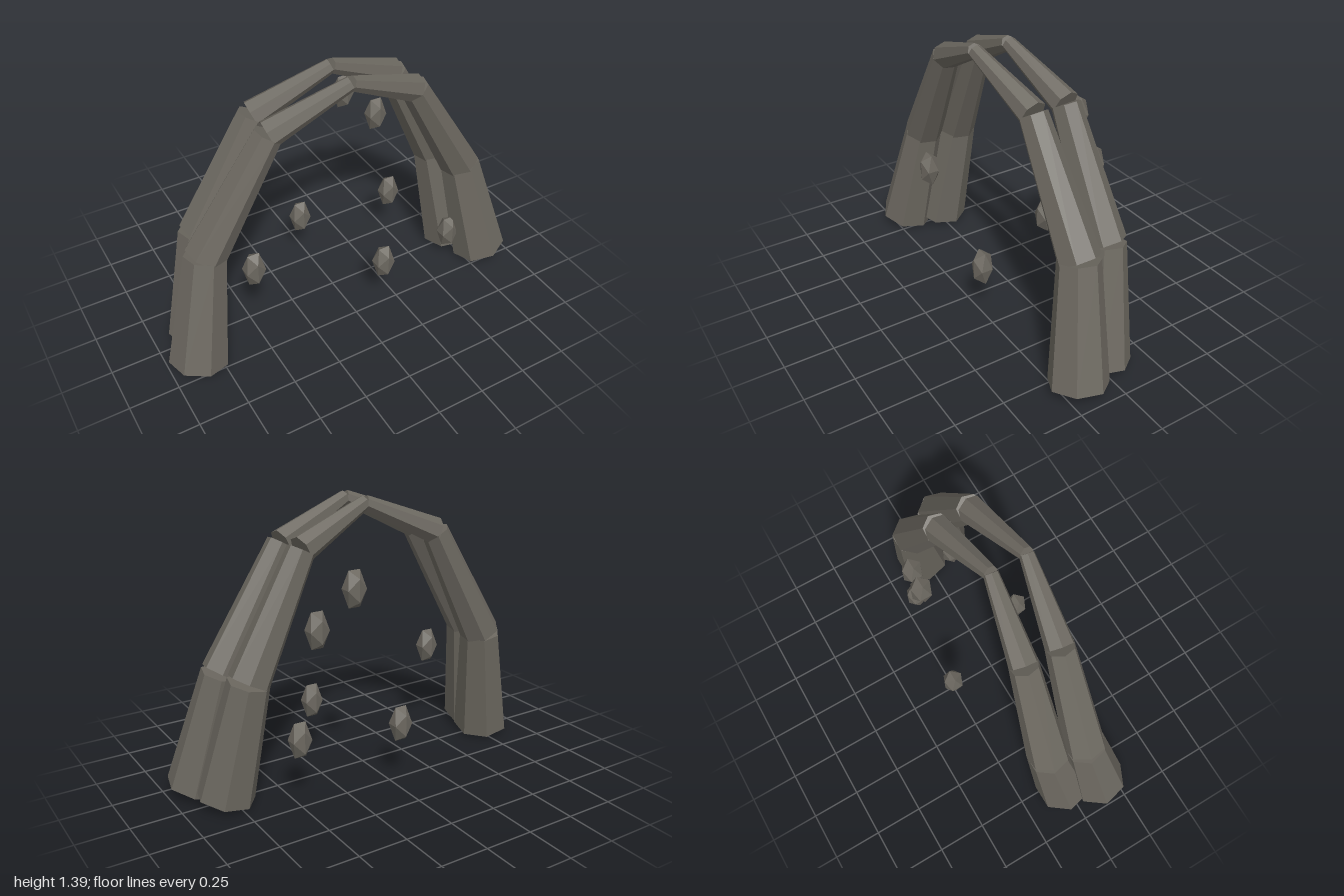
import * as THREE from 'three';

const stone = new THREE.MeshStandardMaterial({ color: 0x6b675f, flatShading: true });
stone.name = 'weathered stone';

const UP = new THREE.Vector3(0, 1, 0);

// Seven-sided tapered block running from a to b
function block(name, a, b, rA, rB) {
  const dir = b.clone().sub(a);
  const mesh = new THREE.Mesh(new THREE.CylinderGeometry(rB, rA, dir.length(), 7), stone);
  mesh.name = name;
  mesh.position.copy(a).add(b).multiplyScalar(0.5);
  mesh.quaternion.setFromUnitVectors(UP, dir.normalize());
  return mesh;
}

// Joints of one half arch: x for the front arch, x for the back arch, y, z, radius
const joints = [
  [0.857, 0.785, 0.04, 0.165, 0.147],
  [0.73, 0.68, 0.617, 0.09, 0.104],
  [0.388, 0.38, 1.193, 0.114, 0.07],
  [0, 0, 1.365, 0.172, 0.036],
];
const names = ['lowerBlock', 'middleBlock', 'upperBlock'];

function arch(name, column, zShift) {
  const group = new THREE.Group();
  group.name = name;
  for (const side of [1, -1]) {
    const half = new THREE.Group();
    half.name = side > 0 ? 'leftHalf' : 'rightHalf';
    const pts = joints.map((j, i) =>
      new THREE.Vector3(side * j[column] - (i ? 0.007 : 0), j[2], j[3] + zShift));
    names.forEach((n, i) =>
      half.add(block(n, pts[i], pts[i + 1], joints[i][4], joints[i + 1][4])));
    group.add(half);
  }
  return group;
}

// Centres of the floating shards
const shards = [
  [0.21, 1.03, -0.257],
  [0.388, 0.855, -0.224],
  [0.476, 0.325, -0.2],
  [-0.05, 0.308, -0.267],
  [0.157, 0.295, 0.25],
  [-0.53, 0.497, 0.17],
  [0.665, 0.185, 0.12],
];

export function createModel() {
  const model = new THREE.Group();
  model.name = 'stoneArches';
  model.add(arch('frontArch', 0, 0), arch('backArch', 1, -0.18));

  // Stretched twenty-sided shards
  const shardGeometry = new THREE.IcosahedronGeometry(0.058, 0).scale(1, 1.8, 1);
  for (const p of shards) {
    const shard = new THREE.Mesh(shardGeometry, stone);
    shard.name = 'floatingShard';
    shard.position.set(...p);
    model.add(shard);
  }
  return model;
}
